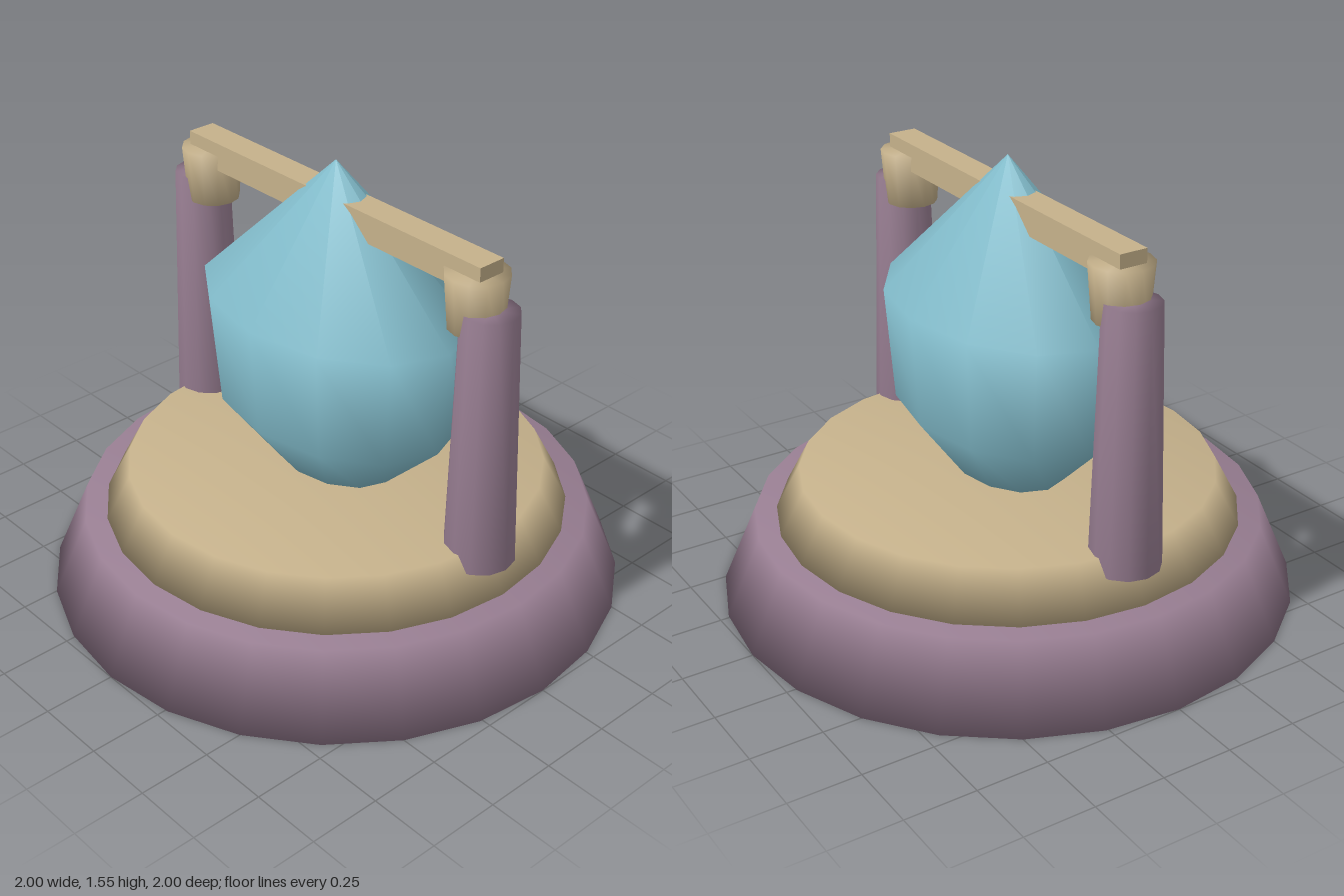
import * as THREE from 'three';

const mat = (name, color) => {
  const m = new THREE.MeshStandardMaterial({ color });
  m.name = name;
  return m;
};

export function createModel() {
  const group = new THREE.Group();
  const mauve = mat('mauve', 0x987e92);
  const sand = mat('sand', 0xc5b18b);
  const blue = mat('crystal blue', 0x83bdcc);

  const add = (name, geometry, material, x = 0, y = 0) => {
    const mesh = new THREE.Mesh(geometry, material);
    mesh.name = name;
    mesh.position.set(x, y, 0);
    group.add(mesh);
    return mesh;
  };

  // Smooth turned solid; profile runs from bottom to top as [radius, y]
  const turned = (profile, sides) =>
    new THREE.LatheGeometry(profile.map(([r, y]) => new THREE.Vector2(r, y)), sides);
  const frustum = (r0, r1, y0, y1, sides) =>
    turned([[0, y0], [r0, y0], [r1, y1], [0, y1]], sides);

  // Two-step round plinth
  add('base', frustum(1, 0.88, 0, 0.28, 24), mauve);
  add('baseStep', frustum(0.81, 0.72, 0.27, 0.44, 24), sand);

  // Faceted crystal, flattened front to back
  const crystal = turned([[0, 0.25], [0.25, 0.44], [0.49, 0.67], [0.53, 1.06], [0, 1.55]], 12);
  add('crystal', crystal, blue).scale.z = 0.705;

  // Tapered posts with a cup on the inner side of each top
  for (const [side, s] of [['left', 1], ['right', -1]]) {
    add(side + 'Post', frustum(0.12, 0.095, 0.38, 1.285, 12), mauve, s * 0.69);
    add(side + 'Cup', frustum(0.09, 0.105, 1.205, 1.395, 12), sand, s * 0.63);
  }

  // Crossbar running through the crystal tip
  add('crossbar', new THREE.BoxGeometry(1.375, 0.1, 0.1), sand, 0, 1.393);

  return group;
}
